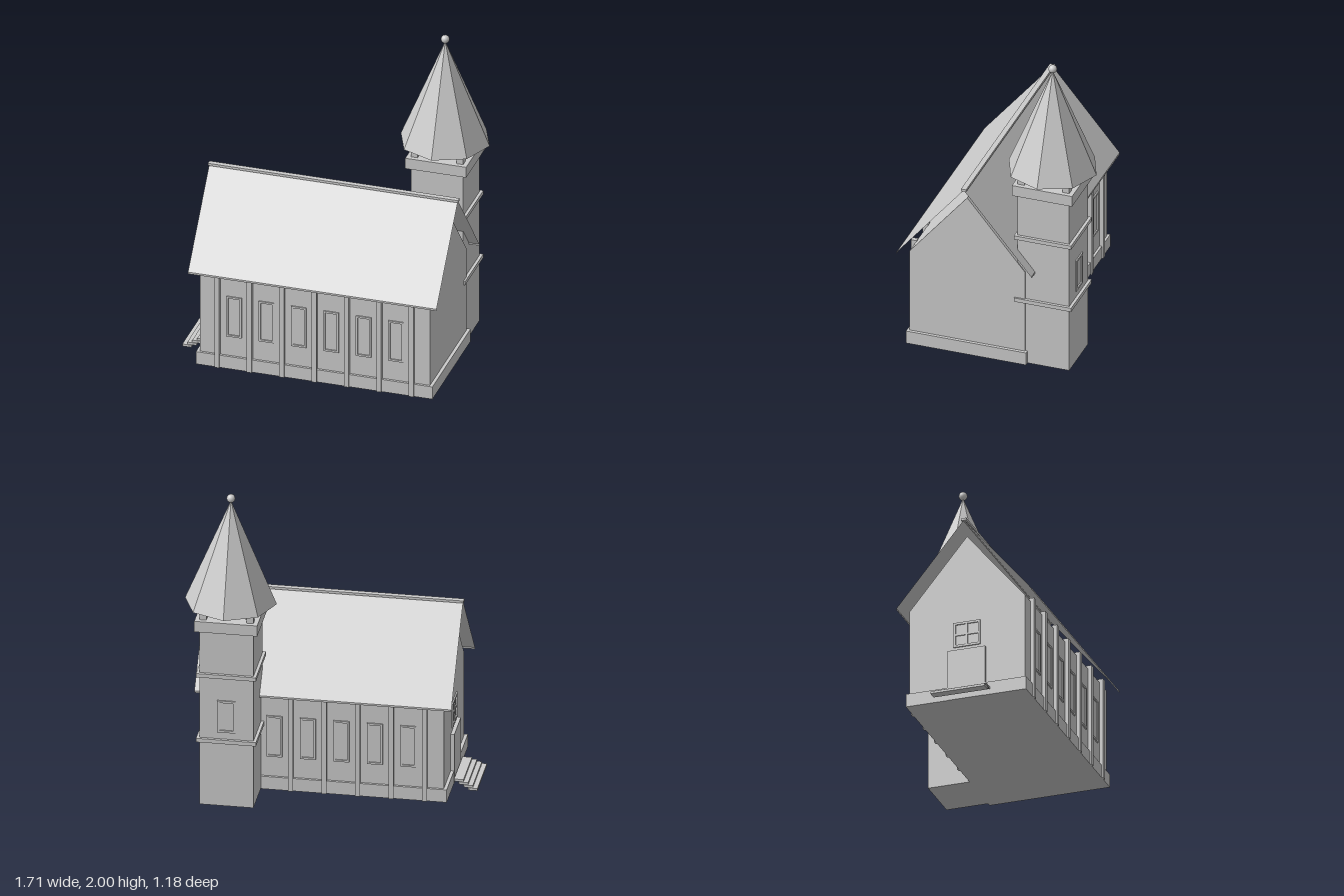
import * as THREE from 'three';

const material = new THREE.MeshStandardMaterial({ color: 0xcccccc, flatShading: true, side: THREE.DoubleSide });
const smooth = new THREE.MeshStandardMaterial({ color: 0xcccccc });

function add(parent, name, geometry, mat = material) {
  const mesh = new THREE.Mesh(geometry, mat);
  mesh.name = name;
  parent.add(mesh);
  return mesh;
}

// Box given by its minimum and maximum corners
function box(parent, name, [x0, y0, z0], [x1, y1, z1]) {
  const mesh = add(parent, name, new THREE.BoxGeometry(x1 - x0, y1 - y0, z1 - z0));
  mesh.position.set((x0 + x1) / 2, (y0 + y1) / 2, (z0 + z1) / 2);
  return mesh;
}

// Square slab centred on the tower axis
function slab(parent, name, half, y0, y1) {
  return box(parent, name, [-half, y0, -half], [half, y1, half]);
}

// Rectangular frame facing +z, centred on its origin
function windowFrame(parent, name, w, h, depth, bar) {
  const rect = (P, a, b) => new P([[-a, -b], [a, -b], [a, b], [-a, b]].map(([x, y]) => new THREE.Vector2(x, y)));
  const shape = rect(THREE.Shape, w / 2, h / 2);
  shape.holes.push(rect(THREE.Path, w / 2 - bar, h / 2 - bar));
  return add(parent, name, new THREE.ExtrudeGeometry(shape, { depth, bevelEnabled: false }));
}

export function createModel() {
  const model = new THREE.Group();
  model.name = 'chapel';
  const midZ = 0.165, half = 0.365;

  // Nave: gabled profile extruded along x
  const gable = new THREE.Shape();
  gable.moveTo(-half, 0.012);
  gable.lineTo(half, 0.012);
  gable.lineTo(half, 0.64);
  gable.lineTo(0, 1.08);
  gable.lineTo(-half, 0.64);
  gable.closePath();
  const nave = add(model, 'nave', new THREE.ExtrudeGeometry(gable, { depth: 1.435, bevelEnabled: false }));
  nave.rotation.y = Math.PI / 2;
  nave.position.set(-0.69, 0, midZ);
  box(model, 'plinth', [-0.71, 0.012, -0.215], [0.765, 0.095, 0.545]);

  // Pilasters and windows along both long walls
  for (const side of [1, -1]) {
    const wall = new THREE.Group();
    wall.name = side > 0 ? 'frontWall' : 'backWall';
    wall.position.z = midZ;
    wall.rotation.y = side > 0 ? 0 : Math.PI;
    model.add(wall);
    for (let i = 0; i < 7; i++) {
      const x = side * (-0.577 + i * 0.202);
      box(wall, 'pilaster', [x - 0.015, 0.012, half - 0.01], [x + 0.015, 0.66, half + 0.024]);
      if (i < 6) {
        const frame = windowFrame(wall, 'sideWindow', 0.095, 0.27, 0.008, 0.012);
        frame.position.set(x + side * 0.101, 0.36, half);
      }
    }
  }

  // Thin roof slopes with an eave strip, and the ridge cap
  const rise = 1.165 - 0.65, run = 0.427, slope = Math.hypot(rise, run);
  for (const side of [1, -1]) {
    const panel = add(model, 'roofSlope', new THREE.PlaneGeometry(1.55, slope));
    panel.position.set(0.03, 0.65 + rise / 2, midZ + side * run / 2);
    panel.rotation.set(-Math.atan2(run, rise), 0, 0);
    if (side < 0) panel.rotation.set(Math.atan2(run, rise), Math.PI, 0);
    const eave = add(model, 'eave', new THREE.PlaneGeometry(1.55, 0.012));
    eave.position.set(0.03, 0.646, midZ + side * run);
    if (side < 0) eave.rotation.y = Math.PI;
  }
  box(model, 'ridgeCap', [-0.75, 1.16, midZ - 0.016], [0.81, 1.175, midZ + 0.016]);

  // Entrance: door, window above it and open steps
  box(model, 'door', [-0.712, 0.012, midZ - 0.12], [-0.68, 0.335, midZ + 0.12]);
  const entry = new THREE.Group();
  entry.name = 'entranceWindow';
  entry.position.set(-0.69, 0.44, midZ);
  entry.rotation.y = -Math.PI / 2;
  model.add(entry);
  windowFrame(entry, 'windowFrame', 0.17, 0.16, 0.008, 0.014);
  box(entry, 'mullion', [-0.006, -0.07, 0], [0.006, 0.07, 0.007]);
  box(entry, 'transom', [-0.075, -0.006, 0], [0.075, 0.006, 0.007]);
  for (let i = 0; i < 4; i++) {
    const x = -0.86 + i * 0.029, y = i * 0.0145, w = 0.171 - i * 0.006;
    box(model, 'step', [x, y, midZ - w], [x + 0.057, y + 0.0145, midZ + w]);
  }

  // Bell tower
  const tower = new THREE.Group();
  tower.name = 'tower';
  tower.position.set(0.575, 0, -0.315);
  model.add(tower);
  slab(tower, 'shaft', 0.163, 0.012, 1.17);
  slab(tower, 'lowerBand', 0.181, 0.43, 0.455);
  slab(tower, 'upperBand', 0.181, 0.86, 0.885);
  slab(tower, 'cornice', 0.19, 1.165, 1.235);
  slab(tower, 'belfryFloor', 0.112, 1.235, 1.278);
  for (const sx of [-1, 1]) for (const sz of [-1, 1]) {
    const post = box(tower, 'belfryPost', [-0.021, 1.235, -0.021], [0.021, 1.31, 0.021]);
    post.position.x = sx * 0.142;
    post.position.z = sz * 0.142;
  }
  const towerWindow = windowFrame(tower, 'towerWindow', 0.11, 0.21, 0.008, 0.014);
  towerWindow.position.set(0, 0.605, -0.163);
  towerWindow.rotation.y = Math.PI;

  // Octagonal spire, open below, with a ball on top
  const spire = add(tower, 'spire', new THREE.ConeGeometry(0.277, 0.665, 8, 1, true));
  spire.position.y = 1.295 + 0.665 / 2;
  const ball = add(tower, 'finial', new THREE.SphereGeometry(0.026, 16, 12), smooth);
  ball.position.y = 1.974;

  return model;
}
